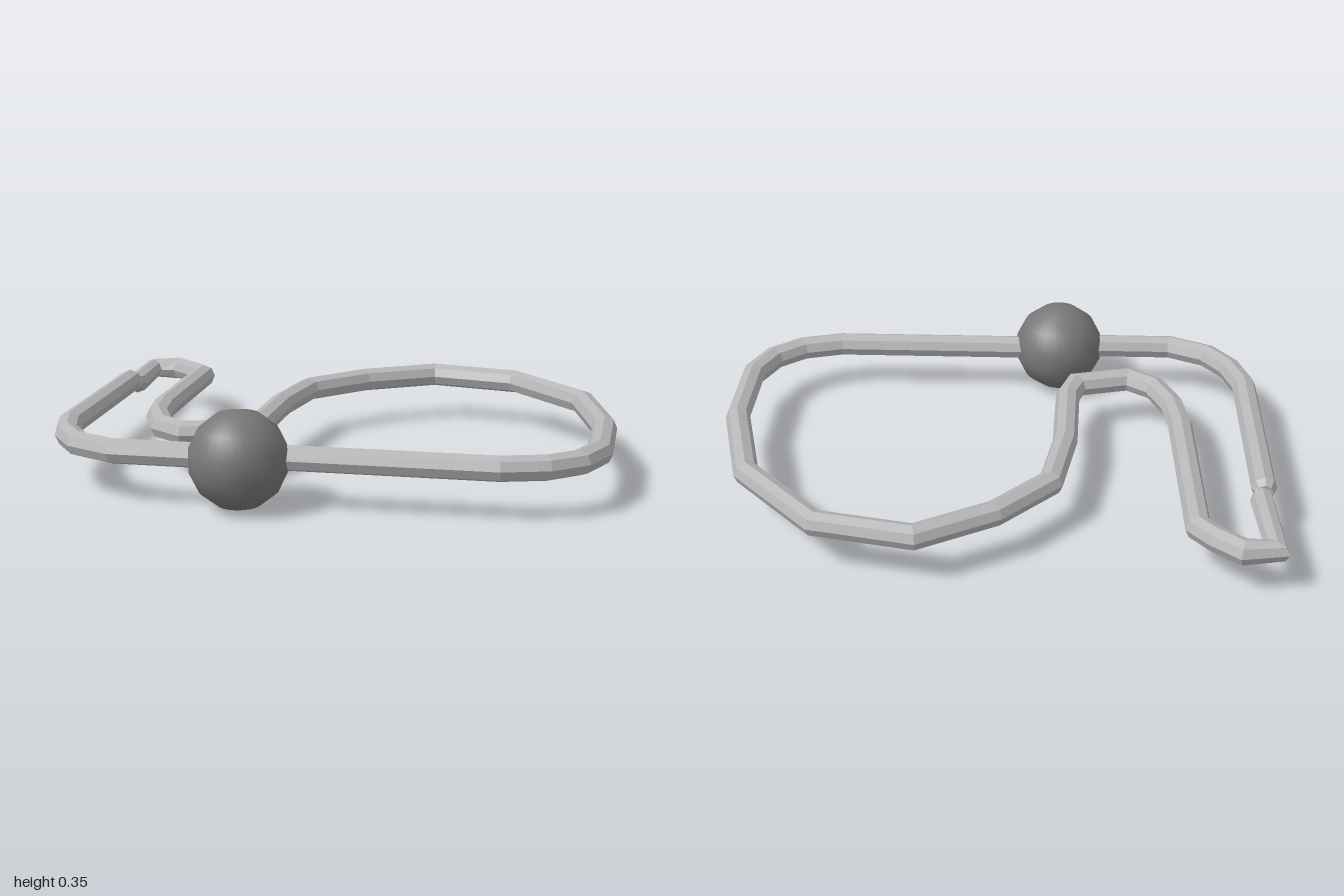
import * as THREE from 'three';

const SIDES = 8;

// Mitred octagonal tube through points [x, z, y, radius]
function mitredTube(points) {
  const pts = points.map(([x, z, y = 0.18, r = 0.045]) => ({ p: new THREE.Vector3(x, y, z), r }));
  const verts = [], index = [];
  const flatDir = (a, b) => new THREE.Vector3(b.p.x - a.p.x, 0, b.p.z - a.p.z).normalize();
  pts.forEach((pt, i) => {
    const into = flatDir(pts[Math.max(i - 1, 0)], pts[Math.max(i, 1)]);
    const out = i < pts.length - 1 ? flatDir(pt, pts[i + 1]) : into;
    const tangent = into.clone().add(out).normalize();
    const stretch = 1 / Math.max(tangent.dot(into), 0.6);
    const side = new THREE.Vector3(tangent.z, 0, -tangent.x);
    for (let k = 0; k < SIDES; k++) {
      const a = (k / SIDES) * Math.PI * 2;
      const v = pt.p.clone().addScaledVector(side, Math.cos(a) * pt.r * stretch);
      verts.push(v.x, v.y + Math.sin(a) * pt.r, v.z);
    }
  });
  for (let i = 0; i < pts.length - 1; i++) {
    for (let k = 0; k < SIDES; k++) {
      const a = i * SIDES + k, b = i * SIDES + ((k + 1) % SIDES);
      index.push(a, a + SIDES, b, b, a + SIDES, b + SIDES);
    }
  }
  // End caps
  const last = (pts.length - 1) * SIDES;
  for (let k = 1; k < SIDES - 1; k++) {
    index.push(0, k, k + 1, last, last + k + 1, last + k);
  }
  const geo = new THREE.BufferGeometry();
  geo.setAttribute('position', new THREE.Float32BufferAttribute(verts, 3));
  geo.setIndex(index);
  const flat = geo.toNonIndexed();
  flat.computeVertexNormals();
  return flat;
}

export function createModel() {
  const group = new THREE.Group();
  const cordMat = new THREE.MeshStandardMaterial({ color: 0xb6b6b6, flatShading: true, side: THREE.DoubleSide });
  cordMat.name = 'light grey';
  const ballMat = new THREE.MeshStandardMaterial({ color: 0x7a7777 });
  ballMat.name = 'dark grey';

  // Straight left run, rounded corner and the stretch into the ball
  const startRun = [
    [-0.955, -0.44, 0.18, 0.03], [-0.955, -0.41], [-0.953, 0.31], [-0.91, 0.45],
    [-0.83, 0.56], [-0.685, 0.63], [-0.24, 0.63],
  ];
  // Out of the ball, round the big loop and back along the narrow bend
  const loopRun = [
    [-0.24, 0.607], [0.635, 0.607], [0.785, 0.565], [0.89, 0.48], [0.95, 0.345],
    [0.955, 0.01], [0.86, -0.375], [0.58, -0.68], [0.24, -0.75], [-0.025, -0.6],
    [-0.215, -0.4], [-0.265, -0.12], [-0.275, 0.205], [-0.31, 0.305], [-0.51, 0.355],
    [-0.61, 0.285], [-0.67, 0.145], [-0.69, 0], [-0.713, -0.63, 0.16],
    [-0.77, -0.695, 0.158], [-0.855, -0.765, 0.158], [-0.962, -0.752, 0.158, 0.038],
    [-0.945, -0.46, 0.16, 0.042], [-0.945, -0.43, 0.172, 0.03],
  ];
  const cord = new THREE.Group();
  cord.name = 'cord';
  for (const [name, run] of [['cordStart', startRun], ['cordLoop', loopRun]]) {
    const mesh = new THREE.Mesh(mitredTube(run), cordMat);
    mesh.name = name;
    cord.add(mesh);
  }
  group.add(cord);

  // Ball threaded on the cord
  const ball = new THREE.Mesh(new THREE.SphereGeometry(0.173, 32, 7), ballMat);
  ball.name = 'ball';
  ball.position.set(-0.24, 0.175, 0.637);
  group.add(ball);

  return group;
}
